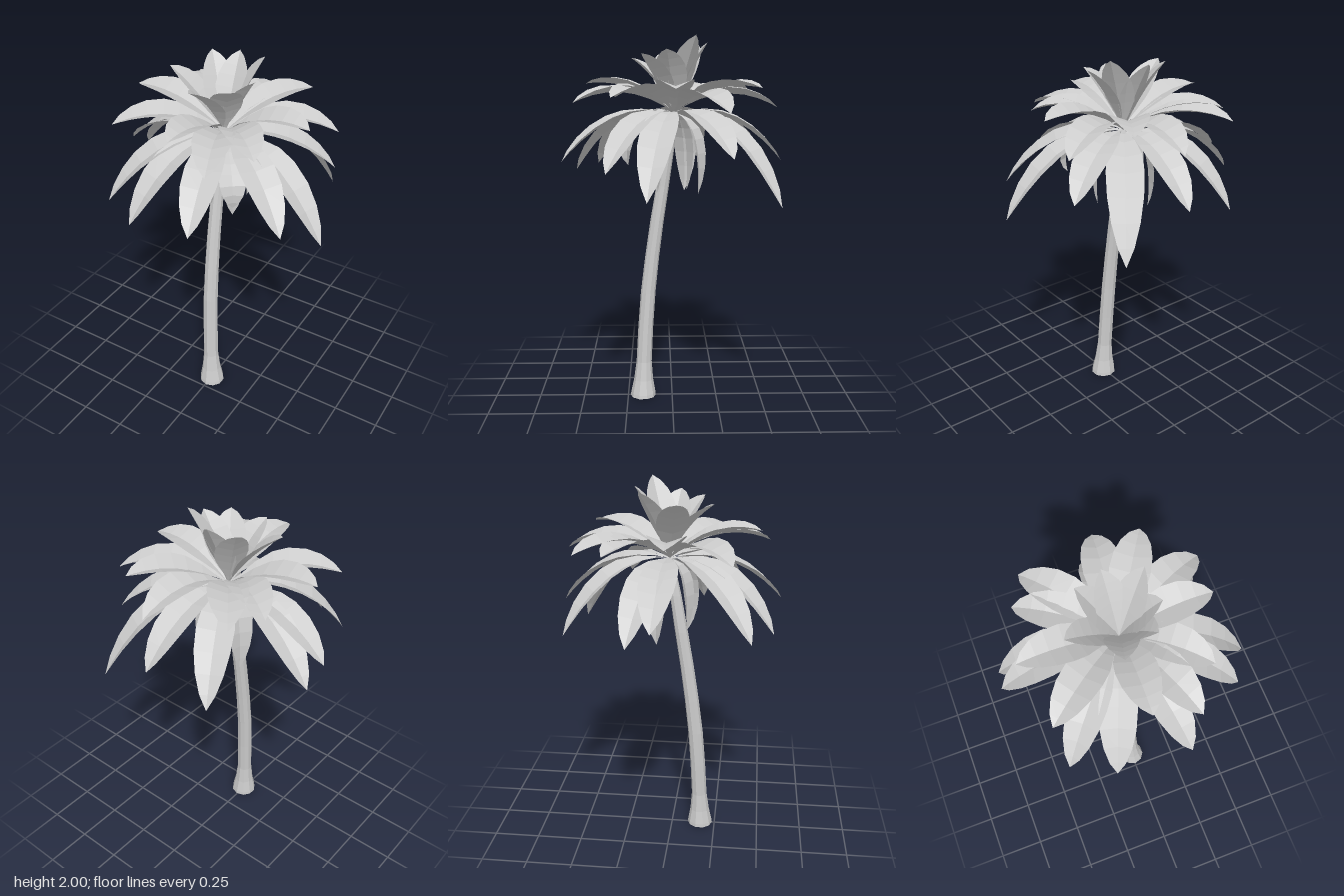
import * as THREE from 'three';

const CROWN = new THREE.Vector3(-0.012, 1.6, -0.012);

// half-width of a frond along its length (fraction along, fraction of full half-width)
const OUTLINE = [[0, 0.05], [0.12, 0.17], [0.25, 0.56], [0.4, 0.9], [0.53, 1], [0.68, 0.94], [0.81, 0.74], [0.92, 0.42], [1, 0]];

// one folded, arching frond from the crown to its tip
function frond(tip, reach, ctrlY, halfWidth, fold) {
  const end = new THREE.Vector3(...tip);
  const ctrl = CROWN.clone().lerp(end, reach).setY(ctrlY);
  const rib = new THREE.QuadraticBezierCurve3(CROWN, ctrl, end);
  const out = end.clone().sub(CROWN).setY(0).normalize();
  const side = new THREE.Vector3(0, 1, 0).cross(out).normalize();
  const pos = [], index = [];
  OUTLINE.forEach(([t, w], i) => {
    const p = rib.getPoint(t);
    const up = rib.getTangent(t).cross(side).normalize();
    for (const s of [-1, 0, 1]) {
      const v = p.clone().addScaledVector(side, s * w * halfWidth)
        .addScaledVector(up, Math.abs(s) * w * halfWidth * fold);
      pos.push(v.x, v.y, v.z);
    }
    if (i === 0) return;
    for (let k = 0; k < 2; k++) {
      const a = (i - 1) * 3 + k, b = a + 3;
      index.push(a, a + 1, b + 1, a, b + 1, b);
    }
  });
  const g = new THREE.BufferGeometry();
  g.setAttribute('position', new THREE.Float32BufferAttribute(pos, 3));
  g.setIndex(index);
  g.computeVertexNormals();
  return g;
}

// curved trunk with a flared, open foot
function trunkGeometry() {
  const path = new THREE.CatmullRomCurve3([
    [0.004, 0, 0.165], [-0.004, 0.2, 0.159], [-0.018, 0.6, 0.134],
    [-0.024, 1, 0.084], [-0.024, 1.25, 0.044], [-0.012, 1.6, -0.012],
  ].map((p) => new THREE.Vector3(...p)));
  const rings = [0, 0.012, 0.06, 0.125, 0.25, 0.375, 0.5, 0.625, 0.75, 0.875, 1];
  const radii = [0.071, 0.069, 0.054, 0.043, 0.042, 0.041, 0.039, 0.037, 0.035, 0.031, 0.018];
  const g = new THREE.CylinderGeometry(1, 1, 1, 10, rings.length - 1, true);
  const p = g.attributes.position;
  for (let i = 0; i < p.count; i++) {
    const k = Math.round((p.getY(i) + 0.5) * (rings.length - 1));
    const c = path.getPointAt(rings[k]);
    p.setXYZ(i, c.x + p.getX(i) * radii[k], c.y, c.z + p.getZ(i) * radii[k]);
  }
  g.computeVertexNormals();
  return g;
}

export function createModel() {
  const model = new THREE.Group();
  model.name = 'palmTree';
  const grey = new THREE.MeshStandardMaterial({ color: 0xcccccc, flatShading: true, side: THREE.DoubleSide });
  grey.name = 'pale grey';

  const trunk = new THREE.Mesh(trunkGeometry(), grey);
  trunk.name = 'trunk';
  model.add(trunk);

  // tiers of fronds, each listed by tip position
  const tiers = [
    { name: 'youngFrond', reach: 0.42, ctrlY: 1.8, width: 0.083, fold: 0.32, tips: [
      [-0.29, 1.92, 0.05], [-0.17, 1.96, -0.15], [-0.03, 1.97, -0.19], [0.15, 2, -0.12],
      [0.18, 1.93, 0.03], [0.11, 1.91, 0.16], [-0.07, 1.89, 0.22]] },
    { name: 'upperFrond', reach: 0.5, ctrlY: 1.79, width: 0.099, fold: 0.36, tips: [
      [-0.52, 1.755, 0.015], [-0.46, 1.67, 0.33], [-0.03, 1.755, 0.46], [0.2, 1.66, 0.51],
      [0.34, 1.69, 0.31], [0.46, 1.735, -0.01], [0.5, 1.62, -0.27], [0.26, 1.735, -0.45],
      [0.05, 1.63, -0.56], [-0.365, 1.685, -0.45], [-0.45, 1.7, -0.29]] },
    { name: 'lowerFrond', reach: 0.57, ctrlY: 1.66, width: 0.093, fold: 0.28, tips: [
      [-0.625, 1.385, -0.04], [-0.615, 1.305, -0.16], [-0.44, 1.285, 0.43], [-0.23, 1.27, 0.54],
      [0.145, 1.355, 0.58], [0.5, 1.33, 0.33], [0.625, 1.21, 0.13], [0.49, 1.4, -0.29],
      [0.38, 1.145, -0.545], [0.03, 1.35, -0.585], [-0.3, 1.25, -0.53]] },
    { name: 'hangingFrond', reach: 1.2, ctrlY: 1.56, width: 0.068, fold: 0.3, tips: [
      [-0.135, 1.16, -0.07], [0.05, 1.17, -0.14], [0.09, 1.18, 0.08], [-0.04, 1.2, 0.08],
      [-0.03, 1.18, -0.08], [0.18, 1.34, 0.23]] },
  ];
  for (const tier of tiers) {
    const group = new THREE.Group();
    group.name = tier.name + 's';
    for (const tip of tier.tips) {
      const leaf = new THREE.Mesh(frond(tip, tier.reach, tier.ctrlY, tier.width, tier.fold), grey);
      leaf.name = tier.name;
      group.add(leaf);
    }
    model.add(group);
  }
  return model;
}
